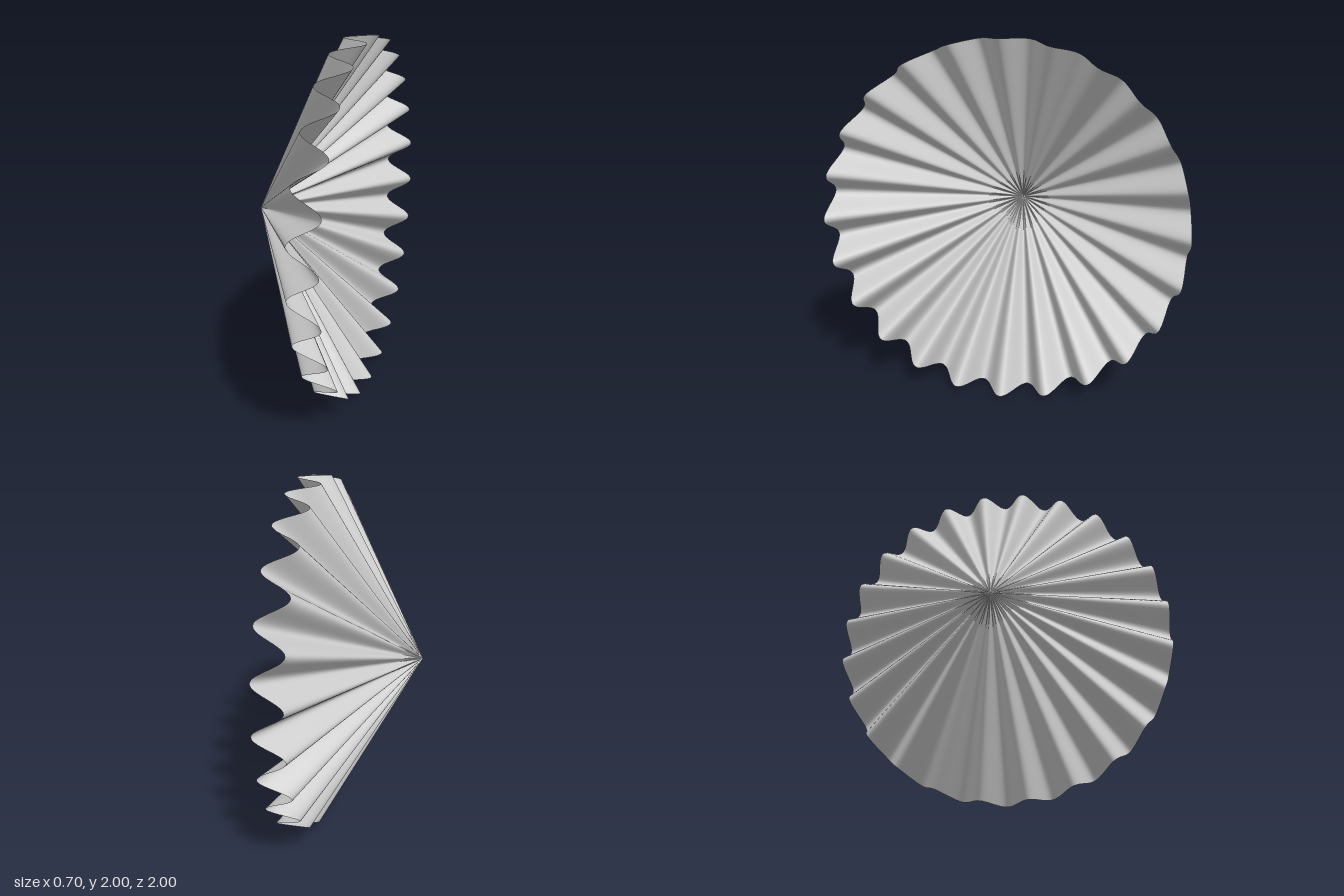
import * as THREE from 'three';

const PLEATS = 24, STEPS = 20, RINGS = 16;

// Pleated cone opening toward +x: every ray from the apex is straight,
// its slope rising and falling as a cosine around the axis.
function pleatedCone() {
  const n = PLEATS * STEPS;
  const pos = [], index = [];
  for (let j = 0; j <= RINGS; j++) {
    const r = Math.max(j / RINGS, 0.001);
    for (let i = 0; i < n; i++) {
      const a = (i / n) * Math.PI * 2;
      const x = -0.35 + r * (0.62 + 0.08 * Math.cos(PLEATS * a));
      pos.push(x, 1 + r * Math.sin(a), r * Math.cos(a));
    }
  }
  for (let j = 0; j < RINGS; j++) {
    for (let i = 0; i < n; i++) {
      const k = (i + 1) % n;
      const a = j * n + i, b = j * n + k, c = a + n, d = b + n;
      index.push(a, b, c, b, d, c);
    }
  }
  const geo = new THREE.BufferGeometry();
  geo.setAttribute('position', new THREE.Float32BufferAttribute(pos, 3));
  geo.setIndex(index);
  geo.computeVertexNormals(); // wrapped index keeps the seam smooth
  return geo;
}

export function createModel() {
  const group = new THREE.Group();
  group.name = 'pleatedFan';
  const material = new THREE.MeshStandardMaterial({ color: 0xcccccc, side: THREE.DoubleSide });
  const cone = new THREE.Mesh(pleatedCone(), material);
  cone.name = 'pleatedCone';
  group.add(cone);
  return group;
}
